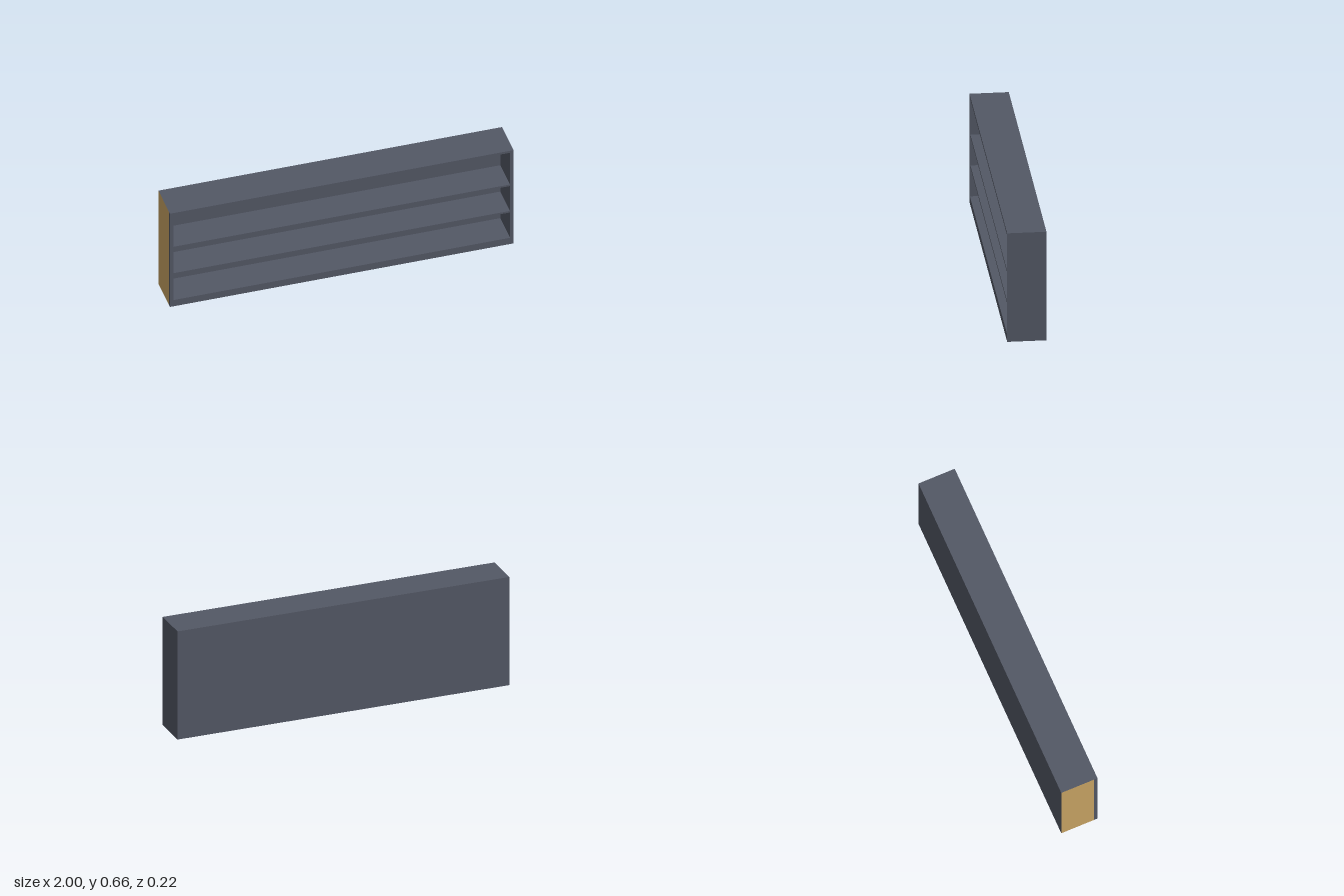
import * as THREE from 'three';

export function createModel() {
  const model = new THREE.Group();
  model.name = 'wallShelf';

  const grey = new THREE.MeshStandardMaterial({ color: 0x535865 });
  grey.name = 'slate grey';
  const wood = new THREE.MeshStandardMaterial({ color: 0xcba665 });
  wood.name = 'bare wood';

  // Box given by its lower and upper bounds on each axis
  function board(name, [x0, x1], [y0, y1], [z0, z1], material = grey) {
    const mesh = new THREE.Mesh(new THREE.BoxGeometry(x1 - x0, y1 - y0, z1 - z0), material);
    mesh.position.set((x0 + x1) / 2, (y0 + y1) / 2, (z0 + z1) / 2);
    mesh.name = name;
    model.add(mesh);
  }

  const W = 1, H = 0.657, D = 0.11;            // half width, height, half depth
  const inner = 0.98, floor = 0.044, ceiling = 0.643;
  const back = -0.077, lip = 0.09;             // back panel face, rear of front edging

  // Carcass
  board('bottomBoard', [-inner, inner], [0, floor], [-D, D]);
  board('topBoard', [-inner, inner], [ceiling, H], [-D, D]);
  board('backPanel', [-inner, inner], [floor, ceiling], [-D, back]);
  board('leftSide', [inner, W], [0, H], [-D, D]);

  // Right side: unpainted outer face behind a painted front edging
  board('rightSide', [-W, -inner], [0, H], [-D, lip], [grey, wood, grey, grey, grey, grey]);
  board('rightFrontEdging', [-W, -inner], [0, H], [lip, D]);

  // Shelves
  for (const y of [0.22, 0.406]) {
    board('shelf', [-inner, inner], [y, y + 0.011], [back, D - 0.003]);
  }

  return model;
}
